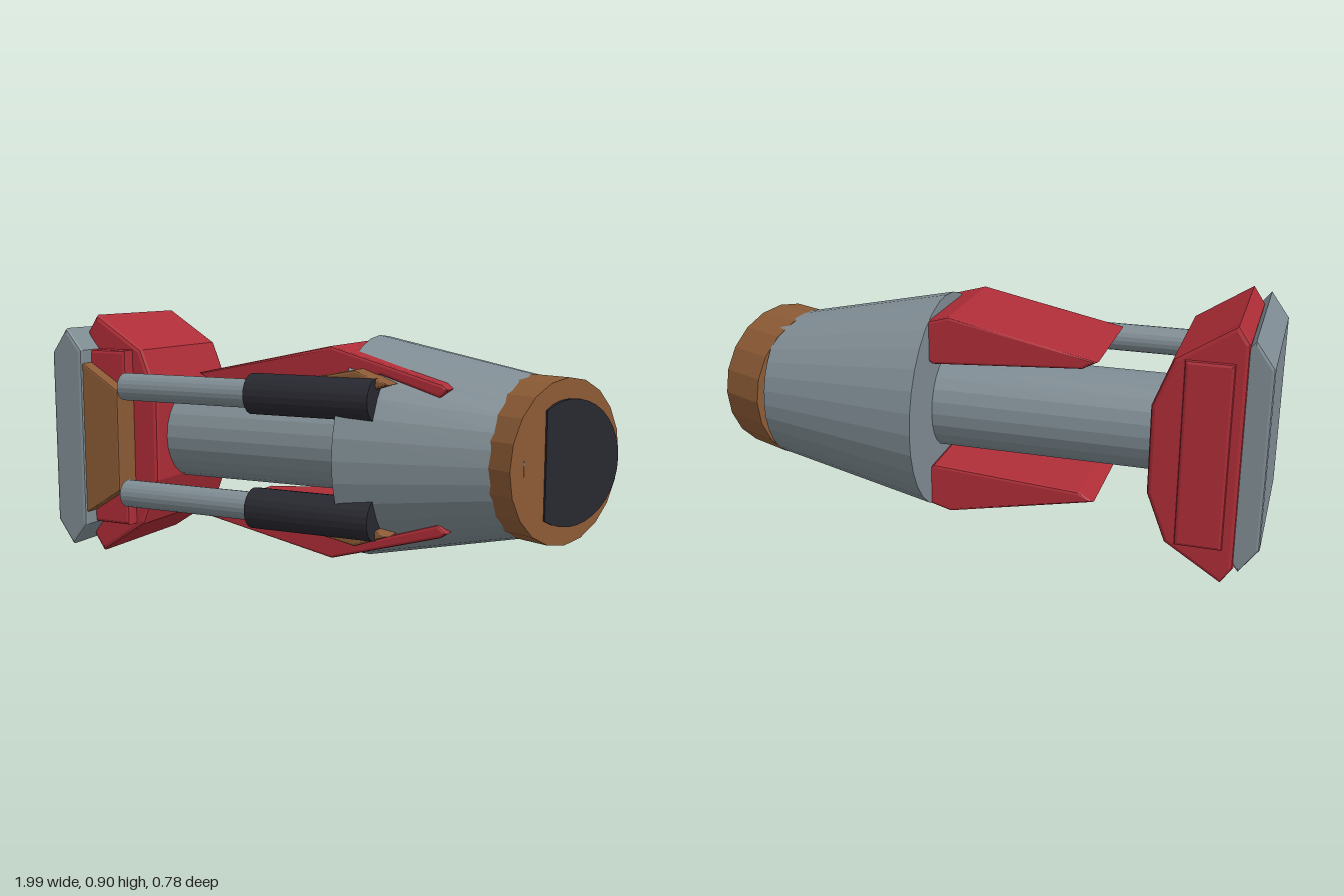
import * as THREE from 'three';

const AXIS = 0.455; // height of the long axis

const paint = (name, color) => {
  const m = new THREE.MeshStandardMaterial({ color, flatShading: true });
  m.name = name;
  return m;
};

export function createModel() {
  const red = paint('red', 0xae2d37);
  const grey = paint('steel grey', 0x7f8c93);
  const brown = paint('brown', 0x8b5a35);
  const dark = paint('charcoal', 0x282830);

  const model = new THREE.Group();
  const add = (name, geometry, material, x = 0, y = 0, z = 0) => {
    const mesh = new THREE.Mesh(geometry, material);
    mesh.name = name;
    mesh.position.set(x, AXIS + y, z);
    model.add(mesh);
    return mesh;
  };

  // Cylinder or cone lying along x, from x0 to x1
  const barrel = (name, material, x0, x1, r0, r1, sides, y = 0, z = 0) =>
    add(name, new THREE.CylinderGeometry(r1, r0, x1 - x0, sides).rotateZ(-Math.PI / 2),
      material, (x0 + x1) / 2, y, z);

  // Bevelled prism with its outline in x and y (y from the axis), from z0 to z1
  const prism = (name, material, points, z0, z1, bevel = 0.012) => {
    const shape = new THREE.Shape(points.map(([x, y]) => new THREE.Vector2(x, y)));
    const geometry = new THREE.ExtrudeGeometry(shape, {
      depth: z1 - z0 - 2 * bevel, bevelEnabled: true, bevelThickness: bevel,
      bevelSize: bevel, bevelOffset: -bevel, bevelSegments: 2,
    });
    return add(name, geometry.translate(0, 0, z0 + bevel), material);
  };
  // Completes an outline by mirroring its upper half
  const mirrored = (half) => [...half, ...half.map(([x, y]) => [x, -y]).reverse()];

  // Main body and central shaft
  barrel('bodyCone', grey, 0.17, 0.78, 0.39, 0.265, 32);
  barrel('shaft', grey, -0.65, 0.2, 0.17, 0.17, 24);

  // Slanted nose ring with its D-shaped plate
  const nose = barrel('noseRing', brown, 0, 0.178, 0.277, 0.277, 20);
  nose.position.set(0.783, AXIS, 0.034);
  nose.rotation.y = -0.415;

  const lens = new THREE.Shape();
  lens.absarc(0, 0, 0.21, -2.122, 2.122, false);
  lens.closePath();
  const plate = add('nosePlate',
    new THREE.ExtrudeGeometry(lens, { depth: 0.014, bevelEnabled: false, curveSegments: 12 }),
    dark, 0.872, 0, 0.074);
  plate.rotation.y = 1.017;

  // Rear block, side panels, end plate and bracket
  prism('rearBlock', red, mirrored([
    [-0.92, 0.39], [-0.88, 0.45], [-0.685, 0.325], [-0.62, 0.155],
  ]), -0.275, 0.235, 0.015);
  prism('rearPanel', red, mirrored([[-0.88, 0.325], [-0.72, 0.325]]), -0.285, 0.283);
  prism('endPlate', grey, mirrored([
    [-1, 0.315], [-0.935, 0.405], [-0.87, 0.325],
  ]), -0.265, 0.345);
  prism('rearBracket', brown, mirrored([[-0.89, 0.29], [-0.72, 0.185]]), 0.2, 0.335, 0.006);

  // Paired armour, clips and pistons above and below the shaft
  for (const [side, s] of [['upper', 1], ['lower', -1]]) {
    const flip = (points) => points.map(([x, y]) => [x, y * s]);
    prism(side + 'Armour', red, flip([
      [-0.425, 0.255], [0.1, 0.365], [0.5, 0.253], [0.523, 0.237], [0.49, 0.208],
      [0.28, 0.275], [0.16, 0.19], [-0.37, 0.225],
    ]), -0.185, 0.252, 0.01);
    prism(side + 'Clip', brown, flip([
      [-0.33, 0.235], [0.05, 0.262], [0.22, 0.295], [0.345, 0.25], [0.3, 0.235], [0, 0.215],
    ]), 0.2, 0.32, 0.008);
    barrel(side + 'PistonRod', grey, -0.705, -0.15, 0.05, 0.05, 20, 0.197 * s, 0.305);
    barrel(side + 'PistonSleeve', dark, -0.165, 0.295, 0.071, 0.071, 20, 0.199 * s, 0.314);
  }

  return model;
}
